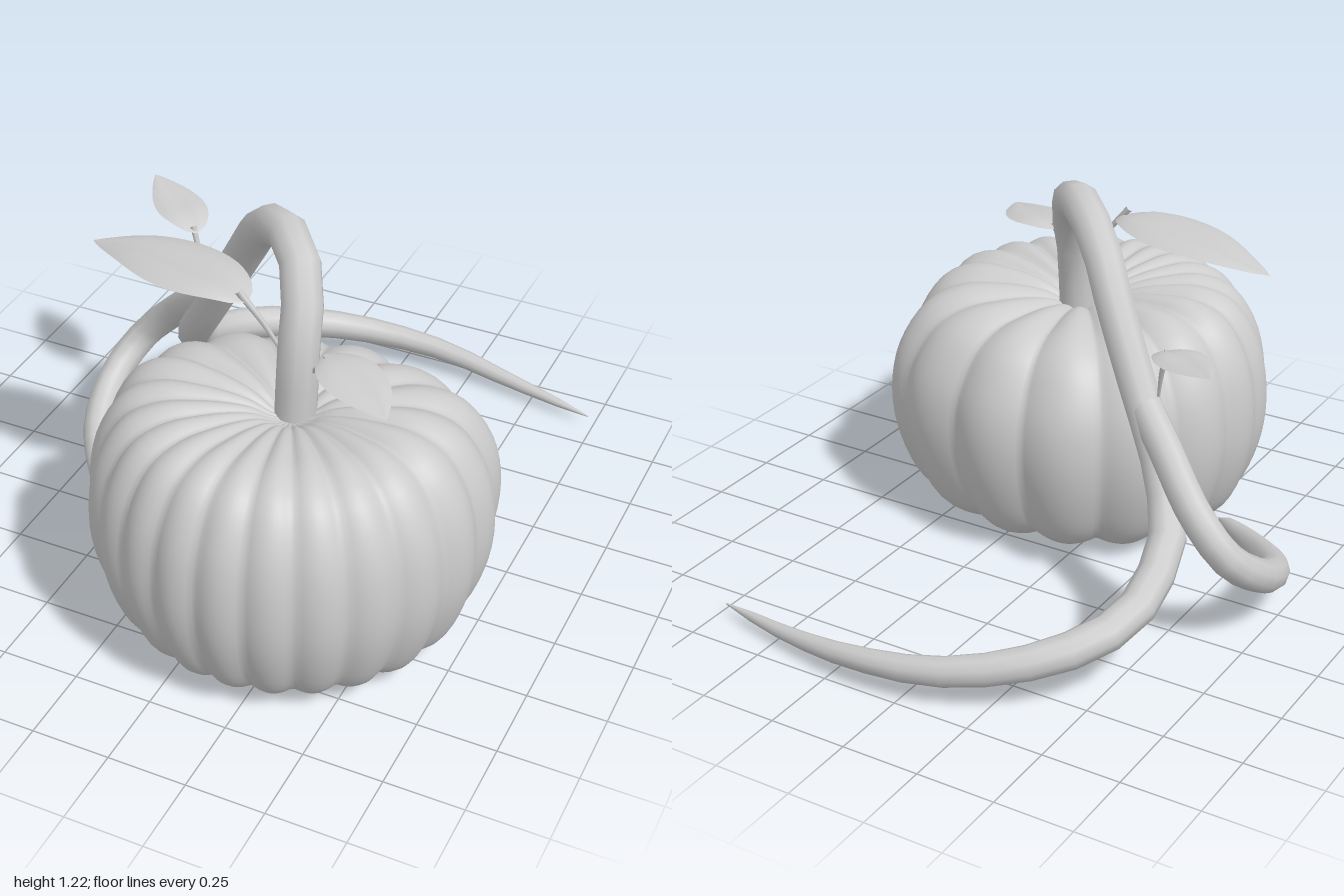
import * as THREE from 'three';
import { mergeVertices } from 'three/addons/utils/BufferGeometryUtils.js';

const skin = new THREE.MeshStandardMaterial({ color: 0xcccccc });
const thin = new THREE.MeshStandardMaterial({ color: 0xcccccc, side: THREE.DoubleSide });
const curveOf = (pts) => new THREE.CatmullRomCurve3(pts.map((p) => new THREE.Vector3(...p)));

// Weld the seam so that the normals run smoothly round the part
function smooth(geometry) {
  geometry.deleteAttribute('uv');
  geometry.deleteAttribute('normal');
  const welded = mergeVertices(geometry, 1e-5);
  welded.computeVertexNormals();
  return welded;
}

function addMesh(parent, name, geometry, material) {
  const mesh = new THREE.Mesh(geometry, material);
  mesh.name = name;
  parent.add(mesh);
  return mesh;
}

// Tube along a curve whose radius follows radiusAt(t)
function taperedTube(points, segments, sides, radiusAt) {
  const curve = curveOf(points);
  const geometry = new THREE.TubeGeometry(curve, segments, 1, sides);
  const pos = geometry.attributes.position;
  const v = new THREE.Vector3();
  for (let i = 0; i <= segments; i++) {
    const centre = curve.getPointAt(i / segments);
    const r = radiusAt(i / segments);
    for (let j = 0; j <= sides; j++) {
      const k = i * (sides + 1) + j;
      v.fromBufferAttribute(pos, k).sub(centre).multiplyScalar(r).add(centre);
      pos.setXYZ(k, v.x, v.y, v.z);
    }
  }
  return smooth(geometry);
}

// Ribbed body: a lathe pinched along its normal at each crease
function pumpkinGeometry() {
  const outline = [
    [0, 0.065], [0.05, 0.06], [0.12, 0.03], [0.25, 0.008], [0.41, 0.015], [0.53, 0.09],
    [0.6, 0.25], [0.62, 0.42], [0.592, 0.6], [0.51, 0.74], [0.39, 0.795], [0.25, 0.79],
    [0.13, 0.76], [0.06, 0.72], [0, 0.7],
  ];
  const curve = new THREE.SplineCurve(outline.map((p) => new THREE.Vector2(...p)));
  const profile = curve.getPoints(56);
  profile.forEach((p) => { p.x = Math.max(p.x, 0); });
  const geometry = new THREE.LatheGeometry(profile, 216);
  const pos = geometry.attributes.position;
  const nor = geometry.attributes.normal;
  const lobes = 19;
  for (let i = 0; i < pos.count; i++) {
    const x = pos.getX(i), y = pos.getY(i), z = pos.getZ(i);
    const r = Math.hypot(x, z);
    const a = Math.atan2(x, z);
    const c = Math.cos(a);
    // lobes are narrower in front and wider behind
    const phase = (lobes / 2) * (a + 0.33 * Math.sin(a)) + 2.2;
    const depth = 0.028 - 0.006 * c;
    const pinch = depth * (1 - Math.pow(Math.abs(Math.cos(phase)), 0.9)) * Math.min(1, r / 0.3);
    // the plan is flattened behind, with a fuller corner at the back left
    const corner = 0.07 * Math.exp(-(((a - 2.25) / 0.3) ** 2));
    const plan = 1 - 0.05 * c * c + 0.03 * c * c * c + corner;
    const sink = 0.15 * Math.max(0, -z - 0.02) * THREE.MathUtils.smoothstep(y, 0.3, 0.8);
    pos.setXYZ(i, (x - nor.getX(i) * pinch) * plan,
      Math.max(0, y - nor.getY(i) * pinch * 0.8 - sink), (z - nor.getZ(i) * pinch) * plan);
  }
  return smooth(geometry);
}

// Leaf blade: a plane bent along its midrib and folded upwards at the sides
function bladeGeometry(midrib, halfWidth, fold) {
  const curve = curveOf(midrib);
  const geometry = new THREE.PlaneGeometry(1, 1, 20, 8);
  const pos = geometry.attributes.position;
  for (let i = 0; i < pos.count; i++) {
    const u = pos.getX(i) + 0.5;
    const s = pos.getY(i) * 2;
    const p = curve.getPointAt(u);
    const t = curve.getTangentAt(u);
    const side = new THREE.Vector3(t.z, 0, -t.x).normalize();
    const w = halfWidth * Math.pow(Math.max(0, Math.sin(Math.PI * Math.pow(u, 0.8))), 0.85);
    p.addScaledVector(side, s * w);
    p.y += fold * w * (Math.abs(s) - s * s * 1.2);
    pos.setXYZ(i, p.x, p.y, p.z);
  }
  geometry.computeVertexNormals();
  return geometry;
}

function leaf(name, stalk, midrib, halfWidth, fold) {
  const group = new THREE.Group();
  group.name = name;
  addMesh(group, 'leafStalk', taperedTube(stalk, 10, 6, (t) => 0.005 + 0.007 * t), skin);
  addMesh(group, 'leafBlade', bladeGeometry(midrib, halfWidth, fold), thin);
  return group;
}

export function createModel() {
  const model = new THREE.Group();
  model.name = 'pumpkinWithVine';

  const body = addMesh(model, 'pumpkin', pumpkinGeometry(), skin);
  body.position.set(0.18, 0, 0.4);

  // Small button in the hollow underneath
  const button = addMesh(model, 'blossomEnd', new THREE.CylinderGeometry(0.05, 0.042, 0.03, 12), skin);
  button.position.set(0.18, 0.06, 0.4);

  // Main vine: rises from the crown, arches over the back and trails on the ground
  const vine = [
    [0.18, 0.68, 0.37], [0.183, 0.92, 0.355], [0.165, 1.07, 0.29], [0.115, 1.15, 0.215],
    [0.02, 1.165, 0.12], [-0.09, 1.09, 0.03], [-0.19, 0.93, -0.045], [-0.3, 0.74, -0.11],
    [-0.43, 0.52, -0.19], [-0.52, 0.37, -0.31], [-0.54, 0.28, -0.45], [-0.53, 0.23, -0.58],
    [-0.45, 0.185, -0.72], [-0.3, 0.145, -0.85], [-0.1, 0.11, -0.935], [0.15, 0.085, -0.96],
    [0.42, 0.055, -0.925], [0.73, 0.04, -0.86],
  ];
  addMesh(model, 'vine', taperedTube(vine, 28, 10, (t) =>
    (t < 0.62 ? 0.065 - 0.013 * t : 0.057 * Math.pow((1 - t) / 0.38, 0.62) + 0.002)), skin);

  // Side shoot curling round the right of the body
  const shoot = [
    [-0.32, 0.7, -0.12], [-0.45, 0.59, -0.2], [-0.59, 0.45, -0.275], [-0.7, 0.33, -0.275],
    [-0.75, 0.23, -0.16], [-0.72, 0.145, 0.02], [-0.62, 0.088, 0.18], [-0.49, 0.05, 0.31],
    [-0.33, 0.03, 0.42],
  ];
  addMesh(model, 'sideShoot', taperedTube(shoot, 24, 10, (t) =>
    (t < 0.55 ? 0.053 : 0.053 * Math.pow(Math.max(0, 1 - t) / 0.45, 0.35) + 0.001)), skin);

  // Leaves
  model.add(leaf('largeLeaf',
    [[0.14, 0.89, 0.36], [0.08, 0.99, 0.37], [0.0, 1.085, 0.375]],
    [[0.03, 1.055, 0.38], [-0.05, 1.075, 0.345], [-0.22, 1.075, 0.295], [-0.4, 1.06, 0.25],
      [-0.57, 1.025, 0.225]], 0.13, 0.35));
  model.add(leaf('smallLeaf',
    [[0.22, 0.85, 0.37], [0.25, 0.89, 0.38], [0.3, 0.965, 0.41]],
    [[0.28, 0.955, 0.385], [0.34, 0.965, 0.425], [0.45, 0.955, 0.495], [0.555, 0.935, 0.58]],
    0.095, 0.3));
  model.add(leaf('backLeaf',
    [[-0.38, 0.72, -0.12], [-0.4, 0.81, -0.14], [-0.43, 0.9, -0.16]],
    [[-0.41, 0.885, -0.145], [-0.46, 0.91, -0.19], [-0.55, 0.92, -0.26], [-0.665, 0.935, -0.345]],
    0.08, 0.3));

  return model;
}
